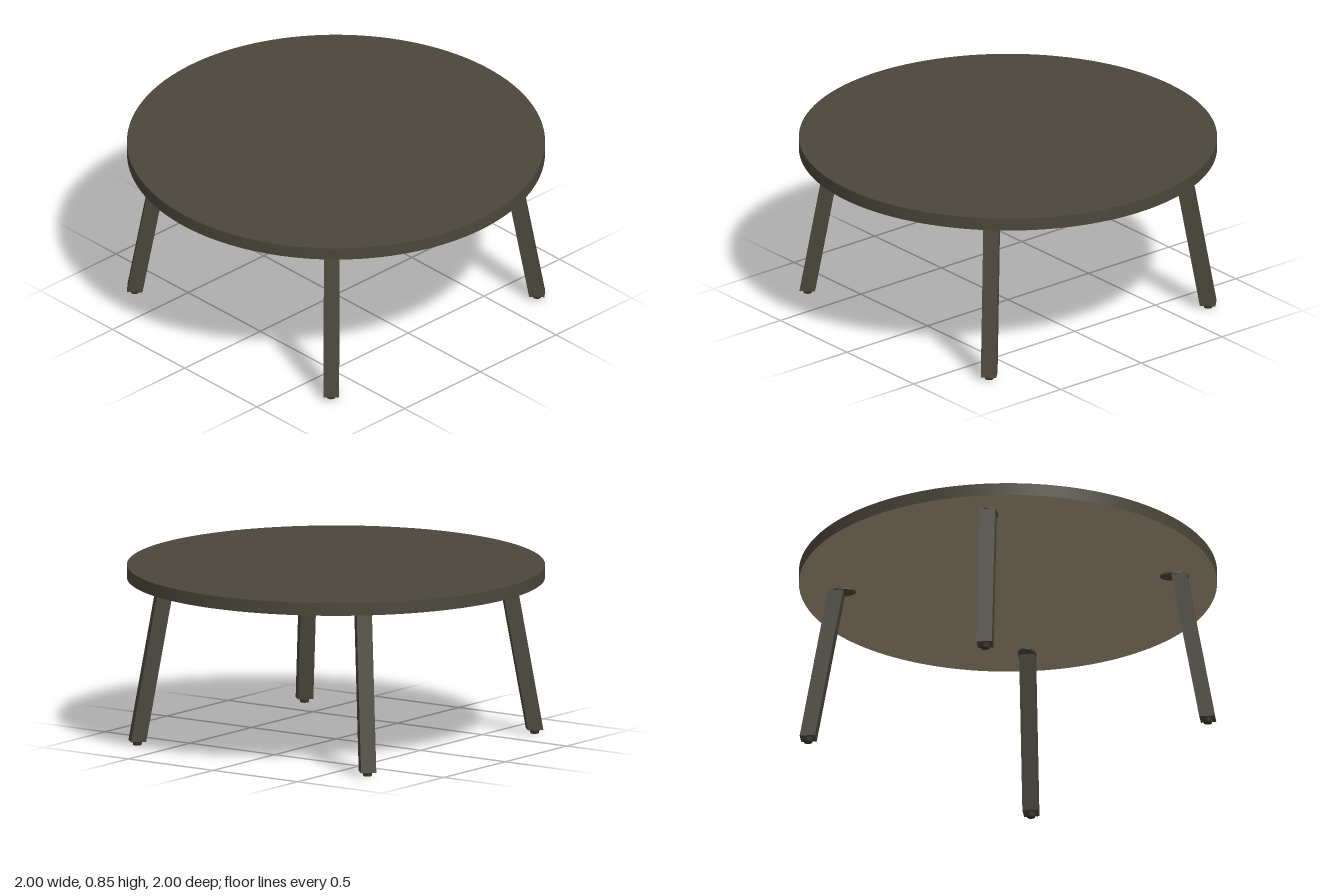
import * as THREE from 'three';

const paint = (name, color) => {
  const m = new THREE.MeshStandardMaterial({ color });
  m.name = name;
  return m;
};

const FLOOR_GAP = 0.02, UNDERSIDE = 0.788, TOP = 0.85;
const FOOT_OFFSET = 0.68, LEG_TOP_OFFSET = 0.583;

// Square post with its faces on the diagonals, sheared so both ends stay level
function legGeometry(sx, sz) {
  const h = UNDERSIDE - FLOOR_GAP;
  const geo = new THREE.BoxGeometry(0.074, h, 0.074);
  geo.rotateY(Math.PI / 4).translate(0, FLOOR_GAP + h / 2, 0);
  const p = geo.attributes.position;
  for (let i = 0; i < p.count; i++) {
    const t = (p.getY(i) - FLOOR_GAP) / h;
    const d = THREE.MathUtils.lerp(FOOT_OFFSET, LEG_TOP_OFFSET, t);
    p.setXYZ(i, p.getX(i) + sx * d, p.getY(i), p.getZ(i) + sz * d);
  }
  geo.computeVertexNormals();
  return geo;
}

export function createModel() {
  const table = new THREE.Group();
  table.name = 'roundTable';

  const olive = paint('dark olive', 0x4b473b);
  const paleWood = paint('pale underside wood', 0xab9b81);
  const footDark = paint('dark foot', 0x3a372e);

  const add = (parent, name, geo, mat) => {
    const mesh = new THREE.Mesh(geo, mat);
    mesh.name = name;
    parent.add(mesh);
    return mesh;
  };

  // Round top: edge, upper face, underside
  const topGeo = new THREE.CylinderGeometry(1, 1, TOP - UNDERSIDE, 128);
  add(table, 'tableTop', topGeo, [olive, olive, paleWood]).position.y = (TOP + UNDERSIDE) / 2;

  // Four splayed legs, each with a mounting plate and a foot pad
  for (const [sx, sz, name] of [[1, 1, 'frontLeft'], [-1, 1, 'frontRight'], [1, -1, 'backLeft'], [-1, -1, 'backRight']]) {
    const leg = new THREE.Group();
    leg.name = name + 'Leg';
    table.add(leg);

    add(leg, 'legPost', legGeometry(sx, sz), olive);

    // Oval plate pointing towards the centre of the table
    const plate = add(leg, 'mountingPlate', new THREE.CylinderGeometry(1, 1, 0.008, 32), olive);
    plate.scale.set(0.068, 1, 0.044);
    plate.rotation.y = Math.atan2(-sz, sx);
    plate.position.set(sx * 0.566, UNDERSIDE - 0.004, sz * 0.566);

    const pad = add(leg, 'footPad', new THREE.CylinderGeometry(0.024, 0.02, FLOOR_GAP, 24), footDark);
    pad.position.set(sx * FOOT_OFFSET, FLOOR_GAP / 2, sz * FOOT_OFFSET);
  }
  return table;
}
